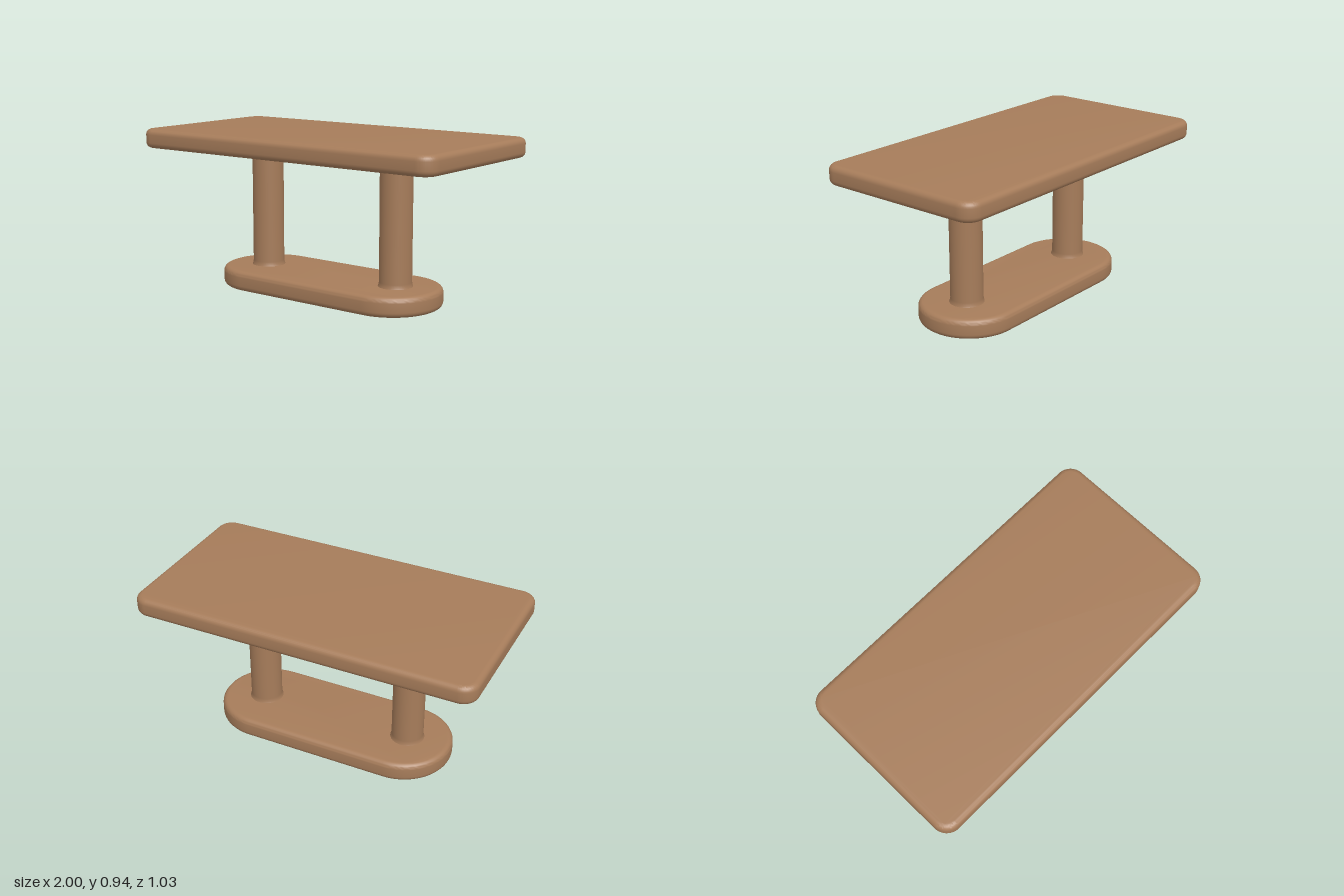
import * as THREE from 'three';
import { toCreasedNormals } from 'three/addons/utils/BufferGeometryUtils.js';

// Horizontal slab with rounded corners in plan and softened edges
function slab(halfX, halfZ, corner, height, bevel) {
  const x = halfX - corner, z = halfZ - corner, q = Math.PI / 2;
  const shape = new THREE.Shape();
  [[x, z], [-x, z], [-x, -z], [x, -z]].forEach(([cx, cz], i) =>
    shape.absarc(cx, cz, corner, i * q, (i + 1) * q, false));
  const geo = new THREE.ExtrudeGeometry(shape, {
    depth: height - 2 * bevel, curveSegments: 14,
    bevelThickness: bevel, bevelSize: bevel, bevelOffset: -bevel, bevelSegments: 6,
  });
  geo.translate(0, 0, bevel);
  geo.rotateX(-Math.PI / 2);
  return toCreasedNormals(geo, 0.7);
}

export function createModel() {
  const group = new THREE.Group();
  const wood = new THREE.MeshStandardMaterial({ color: 0xa67c5a });
  wood.name = 'wood';

  const add = (name, geo, x, y) => {
    const mesh = new THREE.Mesh(geo, wood);
    mesh.name = name;
    mesh.position.set(x, y, 0);
    group.add(mesh);
  };

  add('base', slab(0.72, 0.29, 0.288, 0.115, 0.032), 0, 0);
  add('tableTop', slab(1, 0.516, 0.09, 0.11, 0.032), 0, 0.825);

  // Round columns with a slight flare where they meet the slabs
  const profile = [[0.101, 0.11], [0.096, 0.12], [0.092, 0.14], [0.092, 0.8], [0.093, 0.815], [0.096, 0.83]]
    .map(([r, y]) => new THREE.Vector2(r, y));
  const column = new THREE.LatheGeometry(profile, 40);
  add('leftColumn', column, 0.46, 0);
  add('rightColumn', column, -0.46, 0);

  return group;
}
